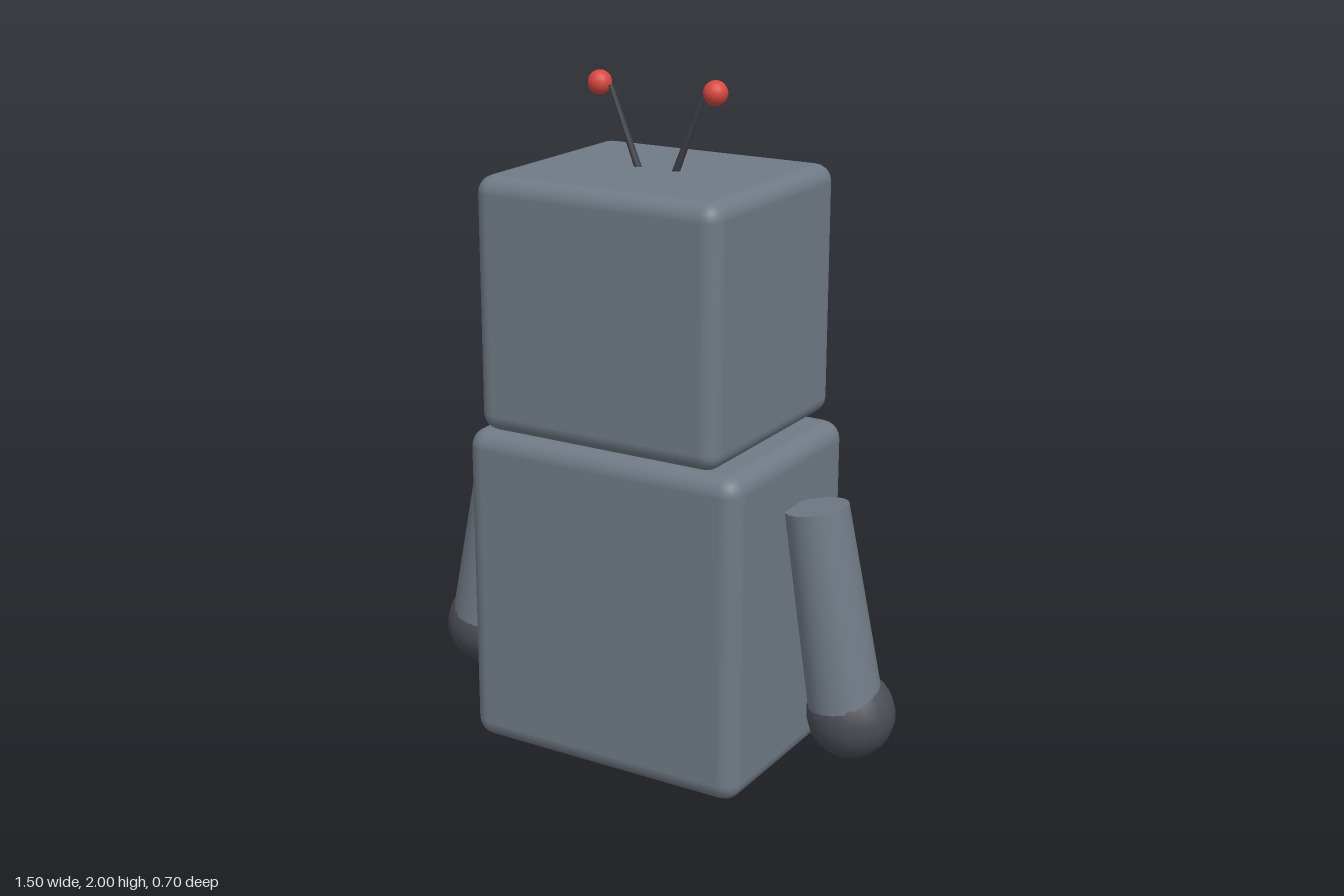
import * as THREE from 'three';
import { RoundedBoxGeometry } from 'three/addons/geometries/RoundedBoxGeometry.js';

const material = (name, color) => {
  const m = new THREE.MeshStandardMaterial({ color });
  m.name = name;
  return m;
};

export function createModel() {
  const steel = material('steel grey', 0x707a85);
  const dark = material('dark grey', 0x4a4d55);
  const rod = material('rod grey', 0x3c3f46);
  const red = material('red', 0xd9483f);
  const cyan = material('cyan', 0x4fb8cf);
  const brass = material('brass', 0xc49a3a);
  const maroon = material('maroon', 0x6e2c2c);

  const model = new THREE.Group();
  model.name = 'robot';

  const add = (name, geometry, mat, x, y, z) => {
    const mesh = new THREE.Mesh(geometry, mat);
    mesh.name = name;
    mesh.position.set(x, y, z);
    model.add(mesh);
    return mesh;
  };

  const ellipsoid = (name, mat, x, y, z, rx, ry, rz, segments = 20) => {
    const mesh = add(name, new THREE.SphereGeometry(1, segments, Math.round(segments * 0.7)), mat, x, y, z);
    mesh.scale.set(rx, ry, rz);
    return mesh;
  };

  // Tapered rod between two points
  const limb = (name, mat, from, to, rFrom, rTo, sides) => {
    const a = new THREE.Vector3(...from);
    const b = new THREE.Vector3(...to);
    const axis = b.clone().sub(a);
    const mid = a.clone().add(b).multiplyScalar(0.5);
    const geometry = new THREE.CylinderGeometry(rTo, rFrom, axis.length(), sides);
    const mesh = add(name, geometry, mat, mid.x, mid.y, mid.z);
    mesh.quaternion.setFromUnitVectors(new THREE.Vector3(0, 1, 0), axis.normalize());
  };

  // Head and body blocks
  add('head', new RoundedBoxGeometry(0.76, 0.72, 0.677, 3, 0.05), steel, 0, 1.385, 0.008);
  add('body', new RoundedBoxGeometry(0.876, 0.95, 0.645, 3, 0.055), steel, 0, 0.54, 0.009);

  // Face and buttons, on the -z side
  add('visor', new THREE.BoxGeometry(0.57, 0.105, 0.03), cyan, 0, 1.428, -0.335);
  ellipsoid('mouth', maroon, 0, 1.24, -0.325, 0.077, 0.03, 0.02);
  for (const y of [0.272, 0.442, 0.612]) {
    ellipsoid('button', brass, 0, y, -0.308, 0.04, 0.04, 0.04, 16);
  }

  // Mirrored parts
  for (const s of [-1, 1]) {
    const side = s > 0 ? 'left' : 'right';
    limb(side + 'Arm', steel, [s * 0.512, 0.862, 0.008], [s * 0.613, 0.3, 0.003], 0.09, 0.106, 20);
    ellipsoid(side + 'Hand', dark, s * 0.624, 0.262, -0.012, 0.126, 0.126, 0.126, 16);
    ellipsoid(side + 'Foot', dark, s * 0.187, 0.08, -0.087, 0.145, 0.08, 0.21, 20);
    limb(side + 'Antenna', rod, [s * 0.055, 1.73, 0.008], [s * 0.148, 1.962, 0.008], 0.011, 0.007, 10);
    ellipsoid(side + 'AntennaBall', red, s * 0.182, 1.966, 0.008, 0.034, 0.034, 0.034, 16);
  }

  return model;
}
